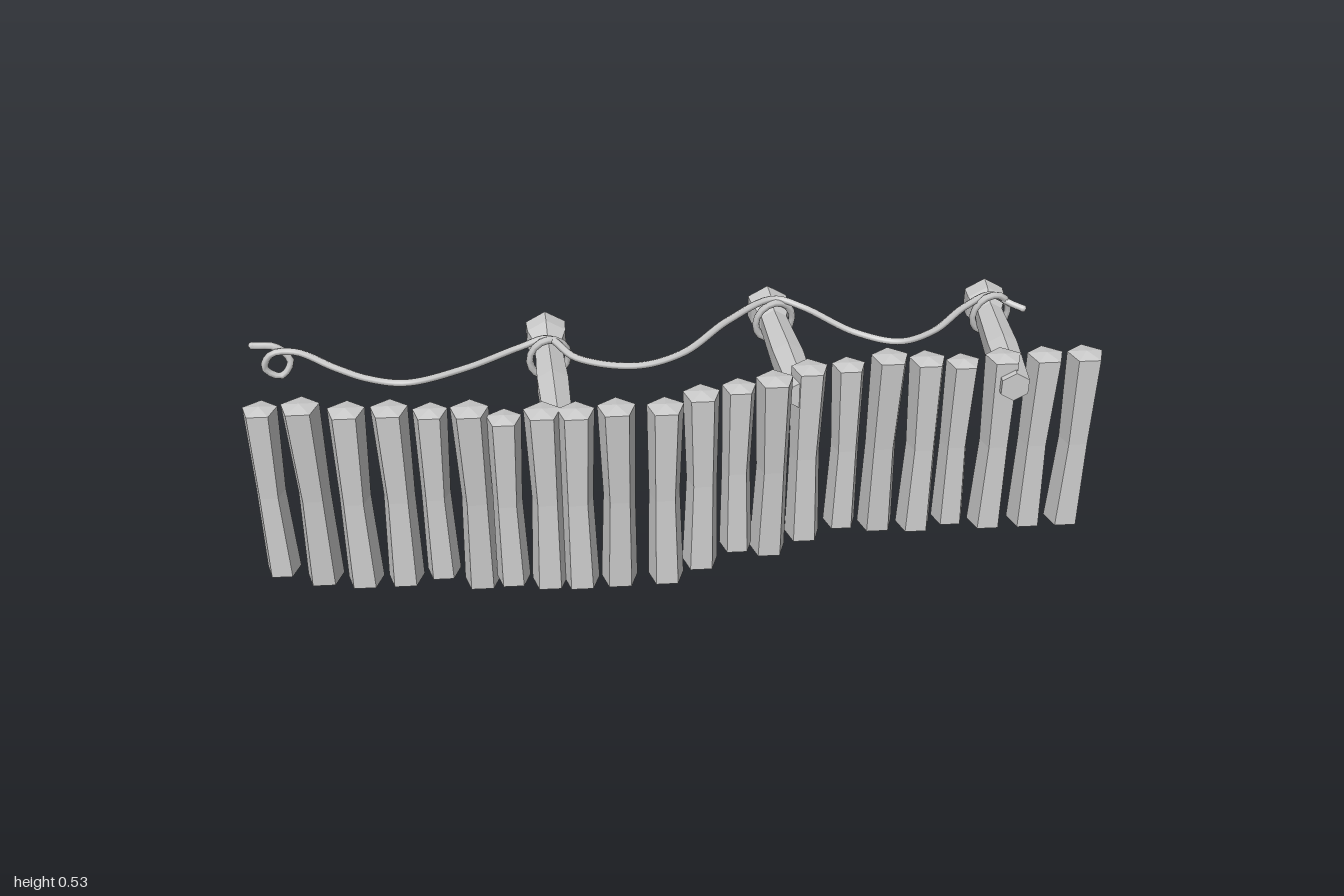
import * as THREE from 'three';

const wood = new THREE.MeshStandardMaterial({ color: 0xcccccc, flatShading: true });
const ropeMat = new THREE.MeshStandardMaterial({ color: 0xcccccc });

function add(parent, name, geometry, material = wood) {
  const mesh = new THREE.Mesh(geometry, material);
  mesh.name = name;
  parent.add(mesh);
  return mesh;
}

// Five-sided stake: flat front, pinched waist, slightly domed ends, optional lean
function stakeGeometry(r, y0, y1, lean, bend) {
  const h = y1 - y0;
  const g = new THREE.CylinderGeometry(r, r, h, 5, 2, false, Math.PI);
  const p = g.attributes.position;
  for (let i = 0; i < p.count; i++) {
    let x = p.getX(i), y = p.getY(i), z = p.getZ(i);
    const t = y / h; // -0.5 bottom .. 0.5 top
    if (Math.abs(t) < 0.1) { x = x * 0.86 + bend; z *= 0.86; }
    else if (Math.hypot(x, z) < 1e-4) y += Math.sign(t) * 0.008;
    p.setXYZ(i, x, y + (y0 + y1) / 2, z - lean * (0.5 - t));
  }
  return g;
}

// Six-sided beam lying along z, with a flared head at the back
function beamGeometry(front, back) {
  const len = front.z - back.z;
  const profile = [
    [0, 0], [0.037, 0], [0.042, len * 0.4], [0.036, len - 0.085],
    [0.053, len - 0.04], [0.055, len], [0, len],
  ].map(([r, d]) => new THREE.Vector2(r, d));
  const g = new THREE.LatheGeometry(profile, 6).rotateX(-Math.PI / 2);
  const p = g.attributes.position;
  for (let i = 0; i < p.count; i++) {
    const t = -p.getZ(i) / len;
    p.setXYZ(i,
      p.getX(i) + THREE.MathUtils.lerp(front.x, back.x, t),
      p.getY(i) + THREE.MathUtils.lerp(front.y, back.y, t),
      p.getZ(i) + front.z);
  }
  return g;
}

export function createModel() {
  const model = new THREE.Group();
  model.name = 'palisadeFence';

  // Stakes: x, z, kind (0 short, 1 medium, 2 tall and leaning)
  const kinds = [
    { r: 0.041, y0: 0.04, y1: 0.485, lean: 0 },
    { r: 0.044, y0: 0.025, y1: 0.495, lean: 0 },
    { r: 0.045, y0: 0.012, y1: 0.507, lean: 0.03 },
  ];
  const row = [
    [-0.95, 0.165, 0], [-0.855, 0.195, 2], [-0.755, 0.2, 1], [-0.66, 0.2, 1],
    [-0.57, 0.2, 0], [-0.48, 0.235, 2], [-0.405, 0.24, 0], [-0.32, 0.235, 1],
    [-0.245, 0.24, 1], [-0.155, 0.25, 2], [-0.045, 0.235, 1], [0.04, 0.185, 1],
    [0.13, 0.145, 0], [0.21, 0.155, 2], [0.3, 0.09, 1], [0.395, 0.067, 0],
    [0.49, 0.073, 2], [0.58, 0.07, 1], [0.665, 0.07, 0], [0.76, 0.07, 1],
    [0.86, 0.07, 1], [0.955, 0.07, 1],
  ];
  const stakes = new THREE.Group();
  stakes.name = 'stakes';
  model.add(stakes);
  row.forEach(([x, z, k], i) => {
    const { r, y0, y1, lean } = kinds[k];
    add(stakes, 'stake', stakeGeometry(r, y0, y1, lean, i % 2 ? 0.003 : -0.003))
      .position.set(x, 0, z);
  });

  // Beams running back from the stakes, each with a rope wrap round it
  const beams = [
    { front: [-0.285, 0.445, 0.21], back: [-0.31, 0.455, -0.2], wrap: [-0.303, 0.452, -0.075] },
    { front: [0.28, 0.44, 0.12], back: [0.245, 0.457, -0.29], wrap: [0.252, 0.462, -0.2] },
    { front: [0.78, 0.44, 0.12], back: [0.795, 0.457, -0.29], wrap: [0.793, 0.462, -0.2] },
  ];
  for (const { front, back, wrap } of beams) {
    add(model, 'beam', beamGeometry(new THREE.Vector3(...front), new THREE.Vector3(...back)));
    const ring = add(model, 'ropeWrap', new THREE.TorusGeometry(0.047, 0.009, 6, 16), ropeMat);
    ring.position.set(...wrap);
    ring.rotation.set(0.15, 0.2, 0);
    ring.scale.y = 1.15;
  }

  // Rope: hanging loop at the free end, then swags from beam to beam
  const path = [
    [-1, 0.5, -0.1], [-0.945, 0.492, -0.103], [-0.915, 0.455, -0.1], [-0.94, 0.42, -0.092],
    [-0.975, 0.445, -0.086], [-0.955, 0.485, -0.083], [-0.9, 0.488, -0.085],
    [-0.8, 0.478, -0.02], [-0.72, 0.475, 0.03], [-0.63, 0.475, 0.055], [-0.5, 0.478, 0.005],
    [-0.37, 0.49, -0.065], [-0.303, 0.505, -0.075], [-0.24, 0.485, -0.015],
    [-0.1, 0.482, 0.028], [0.01, 0.495, 0], [0.13, 0.515, -0.115], [0.25, 0.523, -0.2],
    [0.32, 0.51, -0.175], [0.43, 0.495, -0.07], [0.53, 0.488, -0.03], [0.62, 0.49, -0.07],
    [0.72, 0.5, -0.17], [0.795, 0.508, -0.212], [0.84, 0.49, -0.195], [0.87, 0.48, -0.185],
  ].map((p) => new THREE.Vector3(...p));
  const curve = new THREE.CatmullRomCurve3(path);
  add(model, 'rope', new THREE.TubeGeometry(curve, 160, 0.009, 6), ropeMat);

  // Rope ends
  for (const end of [path[0], path[path.length - 1]]) {
    add(model, 'ropeEnd', new THREE.SphereGeometry(0.0095, 6, 4), ropeMat).position.copy(end);
  }
  return model;
}
